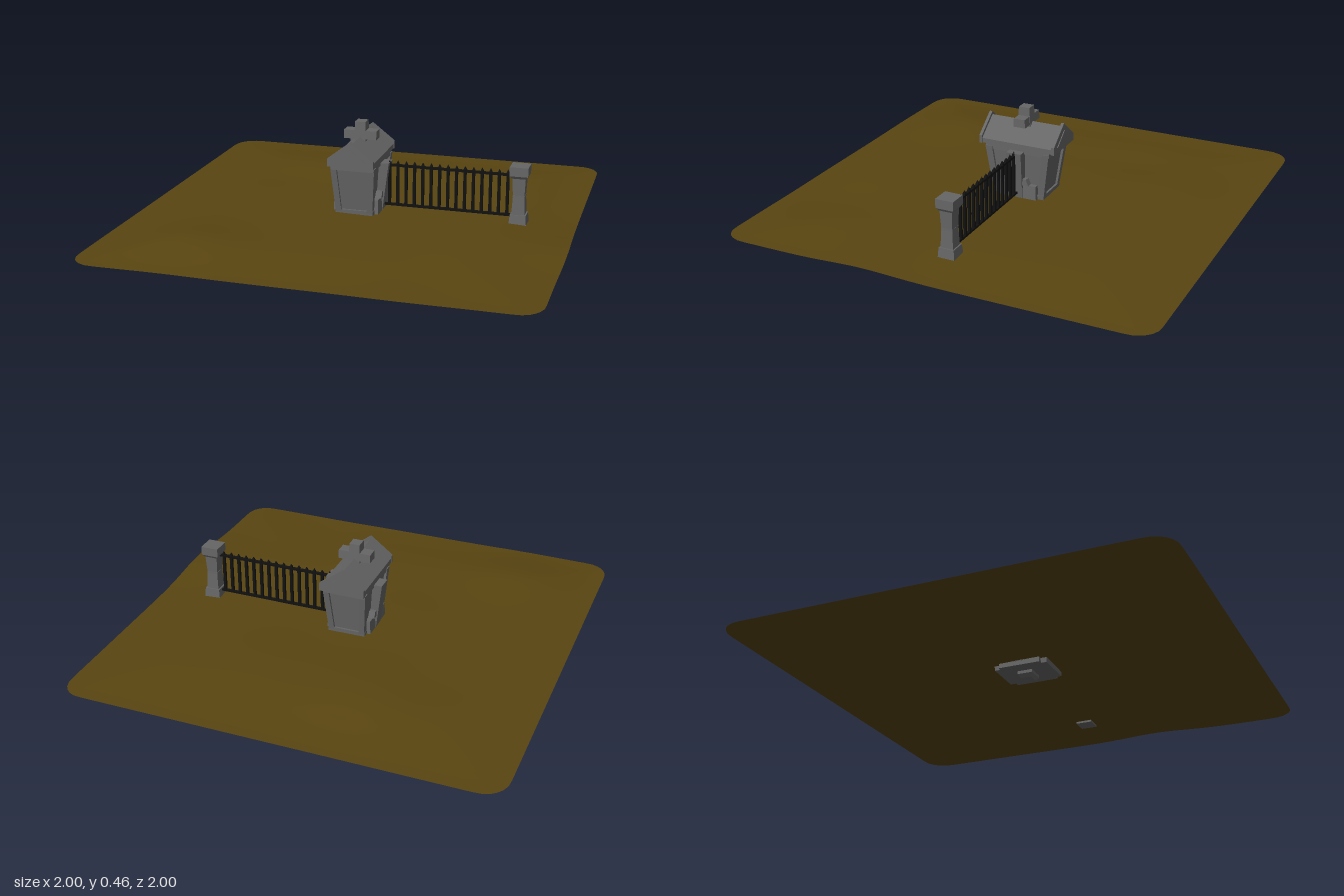
import * as THREE from 'three';

const stone = new THREE.MeshStandardMaterial({ color: 0x666666, flatShading: true });
const iron = new THREE.MeshStandardMaterial({ color: 0x111111, flatShading: true });
const earth = new THREE.MeshStandardMaterial({ color: 0x594511, side: THREE.DoubleSide });

function add(parent, name, geometry, material, x = 0, y = 0, z = 0) {
  const mesh = new THREE.Mesh(geometry, material);
  mesh.name = name;
  mesh.position.set(x, y, z);
  parent.add(mesh);
  return mesh;
}

// Box between heights y0 and y1 with its own [x0, x1, z0, z1] at each end
function taper(y0, y1, low, high) {
  const g = new THREE.BoxGeometry(1, 1, 1);
  const p = g.attributes.position;
  for (let i = 0; i < p.count; i++) {
    const top = p.getY(i) > 0;
    const r = top ? high : low;
    p.setXYZ(i, p.getX(i) < 0 ? r[0] : r[1], top ? y1 : y0, p.getZ(i) < 0 ? r[2] : r[3]);
  }
  g.computeVertexNormals();
  return g;
}
const block = (y0, y1, wx, wz, tx = wx, tz = wz) =>
  taper(y0, y1, [-wx, wx, -wz, wz], [-tx, tx, -tz, tz]);

// Gable profile extruded along z, centred on z = 0
function gable(points, depth) {
  const s = new THREE.Shape(points.map(([x, y]) => new THREE.Vector2(x, y)));
  const g = new THREE.ExtrudeGeometry(s, { depth, bevelEnabled: false });
  return g.translate(0, 0, -depth / 2);
}

// Gently rolling ground
function groundHeight(x, z) {
  const bump = (cx, cz, r, h) => h * Math.exp(-((x - cx) ** 2 + (z - cz) ** 2) / (r * r));
  const edge = Math.min(1, (1 - Math.max(Math.abs(x), Math.abs(z))) / 0.4);
  const fall = edge * edge * (3 - 2 * edge);
  return 0.026 + fall * 0.021
    + bump(-0.58, 0.68, 0.22, 0.024) + bump(-0.25, -0.52, 0.25, 0.017)
    + bump(0.25, -0.5, 0.25, 0.01) + bump(-0.2, 0.1, 0.25, 0.008)
    + bump(0.95, 0.3, 0.22, 0.018) - bump(0.45, 0.72, 0.2, 0.012)
    - bump(-0.5, -0.35, 0.14, 0.008);
}

function groundGeometry() {
  const g = new THREE.PlaneGeometry(2, 2, 48, 48).rotateX(-Math.PI / 2);
  const p = g.attributes.position;
  const r = 0.11;
  for (let i = 0; i < p.count; i++) {
    let x = p.getX(i), z = p.getZ(i);
    // Round the four corners
    const dx = Math.abs(x) - (1 - r), dz = Math.abs(z) - (1 - r);
    if (dx > 0 && dz > 0) {
      const k = Math.max(dx, dz) / Math.hypot(dx, dz);
      x = Math.sign(x) * (1 - r + dx * k);
      z = Math.sign(z) * (1 - r + dz * k);
    }
    const y = groundHeight(x, z);
    // The right edge swells outward a little around z = 0.3
    if (x > 0.9) x -= (x - 0.9) * 0.1 * (1 - Math.exp(-(((z - 0.35) / 0.25) ** 2)));
    p.setXYZ(i, x, y, z);
  }
  g.computeVertexNormals();
  return g;
}

function createCrypt() {
  const crypt = new THREE.Group();
  crypt.name = 'crypt';
  crypt.position.x = -0.006;

  add(crypt, 'foundation', block(0, 0.016, 0.025, 0.025, 0.042, 0.036), stone);
  add(crypt, 'foundationTop', block(0.016, 0.05, 0.042, 0.036), stone);
  add(crypt, 'walls', block(0.03, 0.28, 0.075, 0.115, 0.092, 0.148), stone);
  add(crypt, 'wallTop', block(0.265, 0.295, 0.1, 0.16), stone);
  add(crypt, 'plinth', block(0.03, 0.07, 0.088, 0.127, 0.09, 0.13), stone);

  // Leaning corner posts frame recessed wall panels
  for (const sx of [-1, 1]) {
    for (const sz of [-1, 1]) {
      const range = (x0, x1, z0, z1) => [
        Math.min(sx * x0, sx * x1), Math.max(sx * x0, sx * x1),
        Math.min(sz * z0, sz * z1), Math.max(sz * z0, sz * z1)];
      add(crypt, 'cornerPost',
        taper(0.03, 0.28, range(0.058, 0.085, 0.095, 0.125), range(0.076, 0.104, 0.127, 0.16)), stone);
    }
    // Sloping side buttress with a stepped foot
    const side = (a, b, z) => [Math.min(sx * a, sx * b), Math.max(sx * a, sx * b), -z, z];
    add(crypt, 'buttress', taper(0.05, 0.277, side(0.06, 0.108, 0.03), side(0.08, 0.138, 0.036)), stone);
    add(crypt, 'buttressFoot', taper(0.03, 0.115, side(0.06, 0.108, 0.1), side(0.06, 0.104, 0.095)), stone);
    add(crypt, 'buttressStep', taper(0.115, 0.145, side(0.06, 0.112, 0.062), side(0.06, 0.112, 0.05)), stone);
  }

  // Roof with raised gable ends
  add(crypt, 'roof', gable([[-0.105, 0.29], [0.105, 0.29], [0.105, 0.312], [0, 0.393], [-0.105, 0.312]], 0.36), stone);
  for (const sz of [-1, 1]) {
    add(crypt, 'gableEnd',
      gable([[-0.108, 0.288], [0.108, 0.288], [0.108, 0.325], [0, 0.408], [-0.108, 0.325]], 0.014),
      stone, 0, 0, sz * 0.182);
    add(crypt, 'gablePanel', gable([[-0.075, 0.315], [0.075, 0.315], [0, 0.375]], 0.006), stone, 0, 0, sz * 0.19);
  }

  // Stone cross on the ridge
  add(crypt, 'crossUpright', block(0.36, 0.463, 0.027, 0.034, 0.025, 0.026), stone);
  add(crypt, 'crossArms', block(0.382, 0.422, 0.077, 0.03, 0.077, 0.027), stone);
  return crypt;
}

function createFence() {
  const fence = new THREE.Group();
  fence.name = 'fence';
  for (const y of [0.073, 0.262]) {
    add(fence, 'rail', new THREE.BoxGeometry(0.63, 0.01, 0.014), iron, 0.405, y, 0);
  }
  // Pickets with pointed tips
  for (let i = 0; i < 15; i++) {
    const x = 0.128 + i * 0.0393;
    add(fence, 'picket', new THREE.BoxGeometry(0.013, 0.202, 0.012), iron, x, 0.169, 0);
    const tip = new THREE.ConeGeometry(0.0095, 0.016, 4).rotateY(Math.PI / 4);
    add(fence, 'picketTip', tip, iron, x, 0.278, 0);
  }
  return fence;
}

function createPost() {
  const post = new THREE.Group();
  post.name = 'fencePost';
  post.position.x = 0.733;
  add(post, 'postBase', block(0.035, 0.085, 0.04, 0.04, 0.036, 0.036), stone);
  add(post, 'postLowerShaft', block(0.085, 0.165, 0.03, 0.03, 0.026, 0.026), stone);
  add(post, 'postJoint', block(0.165, 0.174, 0.027, 0.027), stone);
  add(post, 'postUpperShaft', block(0.174, 0.255, 0.026, 0.026, 0.03, 0.03), stone);
  add(post, 'postNeck', block(0.255, 0.268, 0.032, 0.032, 0.041, 0.041), stone);
  add(post, 'postCap', block(0.268, 0.31, 0.042, 0.042), stone);
  return post;
}

export function createModel() {
  const model = new THREE.Group();
  model.name = 'graveyardPlot';
  add(model, 'ground', groundGeometry(), earth);
  model.add(createCrypt(), createFence(), createPost());
  return model;
}
